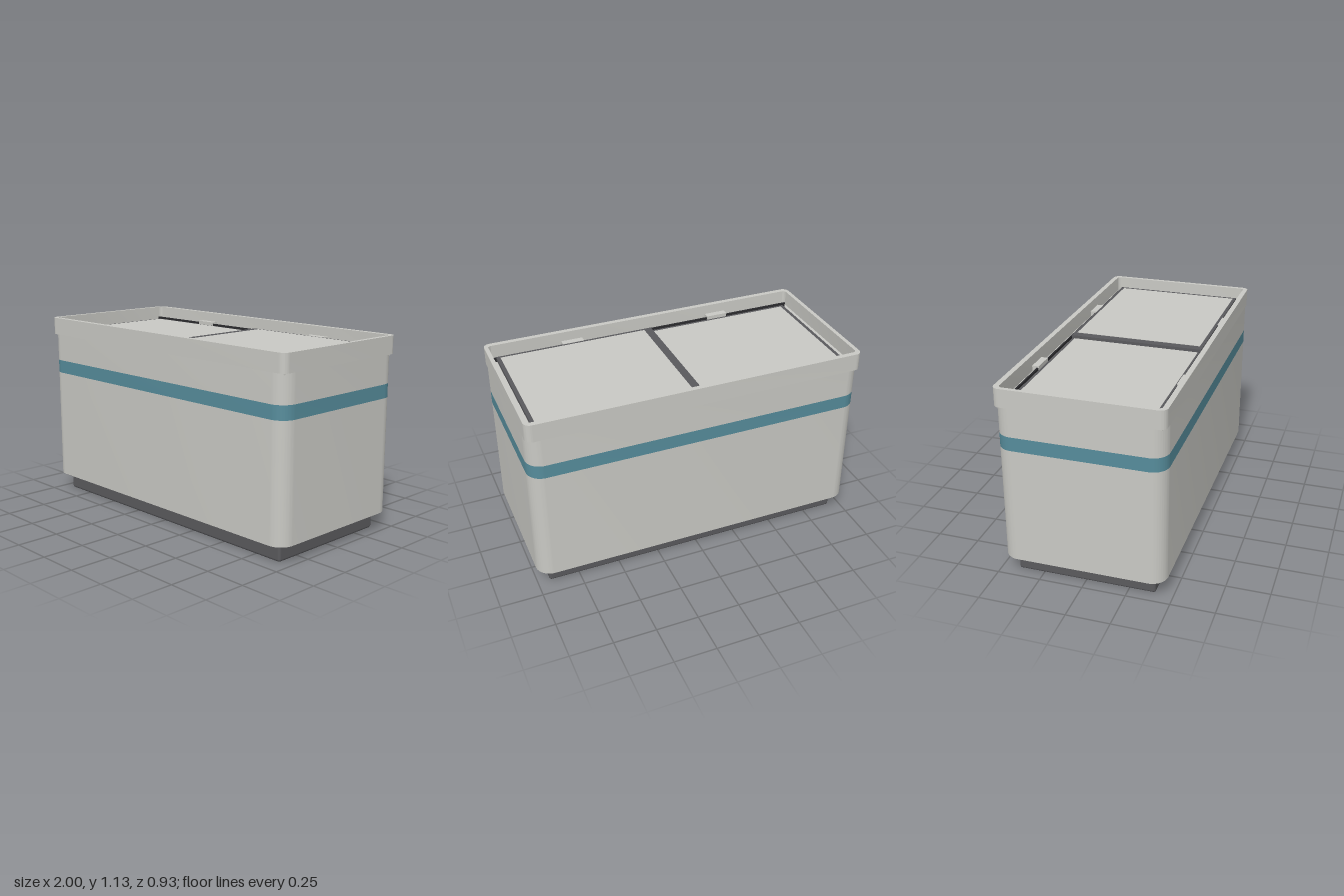
import * as THREE from 'three';
import { toCreasedNormals } from 'three/addons/utils/BufferGeometryUtils.js';
import { RoundedBoxGeometry } from 'three/addons/geometries/RoundedBoxGeometry.js';

const material = (name, color) => {
  const m = new THREE.MeshStandardMaterial({ color });
  m.name = name;
  return m;
};

// Rounded rectangle centred on the origin, given its half sizes
function roundedRect(path, hx, hz, r) {
  path.moveTo(hx, -hz + r);
  path.lineTo(hx, hz - r);
  path.absarc(hx - r, hz - r, r, 0, Math.PI / 2, false);
  path.lineTo(-hx + r, hz);
  path.absarc(-hx + r, hz - r, r, Math.PI / 2, Math.PI, false);
  path.lineTo(-hx, -hz + r);
  path.absarc(-hx + r, -hz + r, r, Math.PI, Math.PI * 1.5, false);
  path.lineTo(hx - r, -hz);
  path.absarc(hx - r, -hz + r, r, Math.PI * 1.5, Math.PI * 2, false);
  return path;
}

// Upright extrusion of a floor plan between two heights
function slab(shape, y0, y1) {
  const g = new THREE.ExtrudeGeometry(shape, { depth: y1 - y0, bevelEnabled: false, curveSegments: 10 });
  g.rotateX(-Math.PI / 2);
  g.translate(0, y0, 0);
  return toCreasedNormals(g, 0.6);
}

// Box given by its limits on each axis
function box(x0, x1, y0, y1, z0, z1) {
  const g = new THREE.BoxGeometry(x1 - x0, y1 - y0, z1 - z0);
  return g.translate((x0 + x1) / 2, (y0 + y1) / 2, (z0 + z1) / 2);
}

export function createModel() {
  const model = new THREE.Group();
  model.name = 'chestFreezer';
  const shell = material('light grey', 0xc9c9c4);
  const dark = material('dark grey', 0x5a5a5d);
  const teal = material('teal', 0x568c9b);
  const black = material('near black', 0x2b2b2e);

  const add = (name, geometry, mat, parent = model) => {
    const mesh = new THREE.Mesh(geometry, mat);
    mesh.name = name;
    parent.add(mesh);
    return mesh;
  };

  // Plinth
  const plinth = add('plinth', new RoundedBoxGeometry(1.86, 0.11, 0.8, 3, 0.015), dark);
  plinth.position.y = 0.055;

  // Cabinet in three bands, the middle one being the stripe
  const plan = roundedRect(new THREE.Shape(), 1, 0.466, 0.09);
  add('lowerCabinet', slab(plan, 0.109, 0.786), shell);
  add('stripe', slab(plan, 0.786, 0.866), teal);
  add('upperCabinet', slab(plan, 0.866, 1.03), shell);

  // Raised rim with squarer corners, and the sunken deck inside it
  const rim = roundedRect(new THREE.Shape(), 1, 0.466, 0.04);
  rim.holes.push(roundedRect(new THREE.Path(), 0.976, 0.436, 0.02));
  add('rim', slab(rim, 1.03, 1.135), shell);
  add('deck', box(-0.98, 0.98, 1.02, 1.045, -0.44, 0.44), shell);

  // Two overlapping sliding lids, the one at +x running higher
  const lids = [
    { name: 'leftOuterLid', frame: [-0.945, 0.02], panel: [-0.922, -0.028], y: 1.057 },
    { name: 'upperLid', frame: [-0.028, 0.942], panel: [0.022, 0.92], y: 1.077 },
  ];
  lids[0].name = 'lowerLid';
  for (const { name, frame, panel, y } of lids) {
    const lid = new THREE.Group();
    lid.name = name;
    add('lidFrame', box(frame[0], frame[1], y - 0.02, y, -0.398, 0.398), dark, lid);
    add('lidPanel', box(panel[0], panel[1], y - 0.003, y + 0.002, -0.379, 0.379), shell, lid);
    model.add(lid);
  }

  // Guide rails and the small retaining clips on both long sides
  for (const side of [-1, 1]) {
    const z0 = Math.min(side * 0.397, side * 0.407);
    add('guideRail', box(-0.962, 0.962, 1.04, 1.07, z0, z0 + 0.01), black);
    const c0 = Math.min(side * 0.395, side * 0.434);
    for (const x of [-0.475, 0.47]) {
      add('retainingClip', box(x - 0.066, x + 0.066, 1.04, 1.079, c0, c0 + 0.039), shell);
    }
  }
  return model;
}
